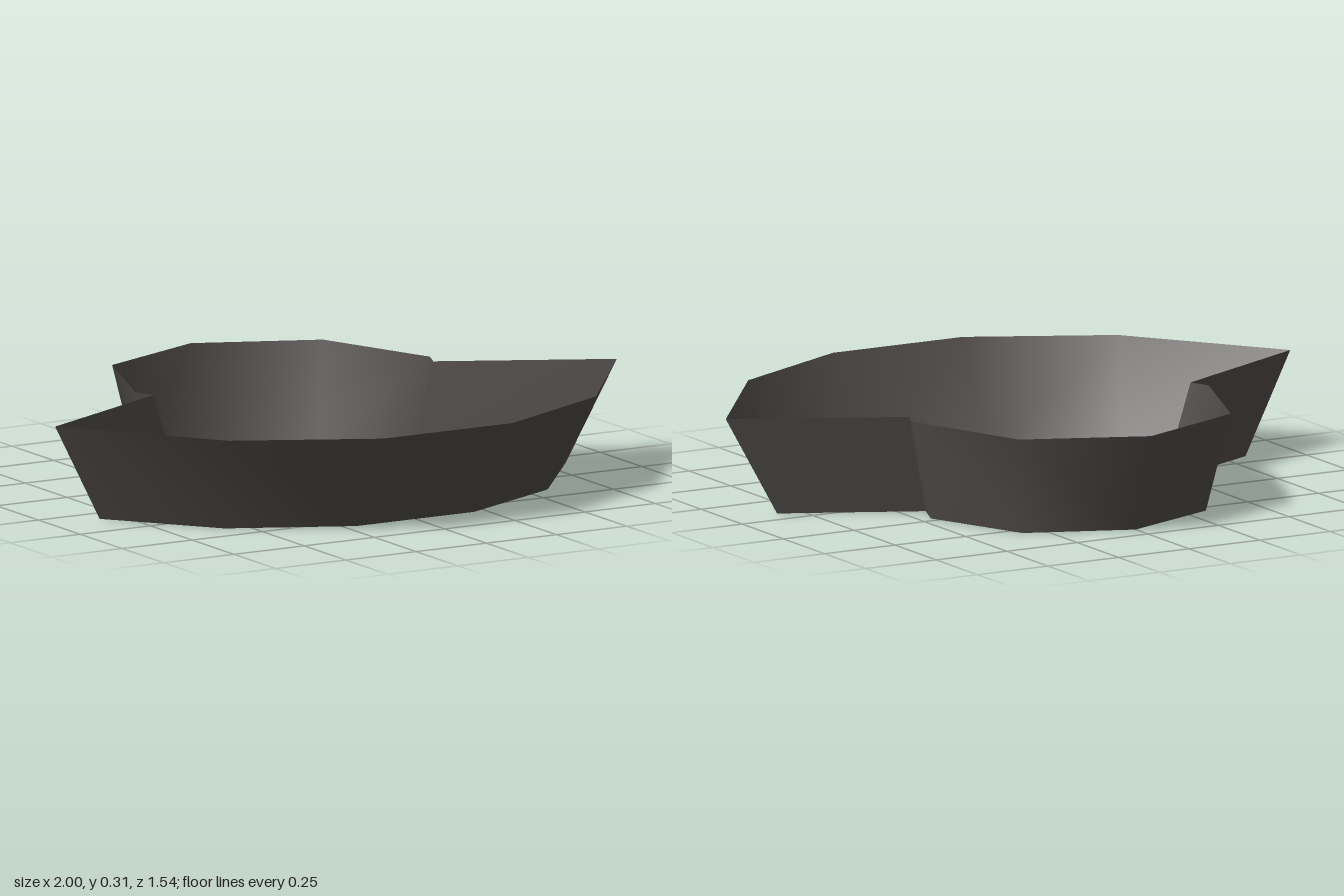
import * as THREE from 'three';
import { toCreasedNormals } from 'three/addons/utils/BufferGeometryUtils.js';

const HEIGHT = 0.31;

// Half outlines as [x, z], from the back to the front, mirrored in x
const BASE = [[0, -0.675], [0.325, -0.545], [0.46, -0.22], [0.42, -0.12], [0.83, 0.08], [0.575, 0.4], [0.21, 0.575]];
const RIM = [[0, -0.77], [0.375, -0.61], [0.525, -0.22], [0.498, -0.155], [1, 0.1], [0.655, 0.555], [0.23, 0.77]];
const PATCH = [
  [0, 0.19], [0.13, 0.185], [0.145, 0.165], [0.22, 0.13], [0.26, 0.085], [0.3, 0.06], [0.32, 0],
  [0.35, -0.025], [0.375, -0.053], [0.41, -0.053], [0.45, -0.02], [0.49, -0.005], [0.53, 0.03],
  [0.6, 0.07], [0.66, 0.09], [0.705, 0.093], [0.705, 0.14], [0.68, 0.17], [0.65, 0.235],
  [0.58, 0.295], [0.515, 0.365], [0.46, 0.39], [0.4, 0.435], [0.33, 0.47], [0.235, 0.485],
  [0.17, 0.51], [0.08, 0.51], [0, 0.52],
];

const mirror = (half) => [...half, ...half.filter(([x]) => x > 0).reverse().map(([x, z]) => [-x, z])];
const toPoints = (outline) => outline.map(([x, z]) => new THREE.Vector2(x, -z));

// Flat horizontal face from a shape
function flat(shape, material, name) {
  const mesh = new THREE.Mesh(new THREE.ShapeGeometry(shape).rotateX(-Math.PI / 2), material);
  mesh.name = name;
  return mesh;
}

// Flared band between the base and rim outlines
function wallGeometry(base, rim) {
  const positions = [];
  base.forEach(([x0, z0], i) => {
    const j = (i + 1) % base.length;
    const a = [x0, 0, z0];
    const b = [base[j][0], 0, base[j][1]];
    const c = [rim[j][0], HEIGHT, rim[j][1]];
    const d = [rim[i][0], HEIGHT, rim[i][1]];
    positions.push(...a, ...d, ...c, ...a, ...c, ...b);
  });
  const geometry = new THREE.BufferGeometry();
  geometry.setAttribute('position', new THREE.Float32BufferAttribute(positions, 3));
  return toCreasedNormals(geometry, THREE.MathUtils.degToRad(55));
}

export function createModel() {
  const group = new THREE.Group();
  group.name = 'tray';
  const grey = new THREE.MeshStandardMaterial({ color: 0x4f4b49, side: THREE.DoubleSide });
  grey.name = 'dark grey';
  const tan = new THREE.MeshStandardMaterial({ color: 0x8b764a, side: THREE.DoubleSide });
  tan.name = 'tan';

  // Floor, with an opening filled by the crescent patch
  const base = mirror(BASE);
  const patch = toPoints(mirror(PATCH));
  const floor = new THREE.Shape(toPoints(base));
  floor.holes.push(new THREE.Path(patch));
  group.add(flat(floor, grey, 'floor'));
  group.add(flat(new THREE.Shape(patch), tan, 'crescentPatch'));

  // Open flared walls
  const walls = new THREE.Mesh(wallGeometry(base, mirror(RIM)), grey);
  walls.name = 'walls';
  group.add(walls);
  return group;
}
